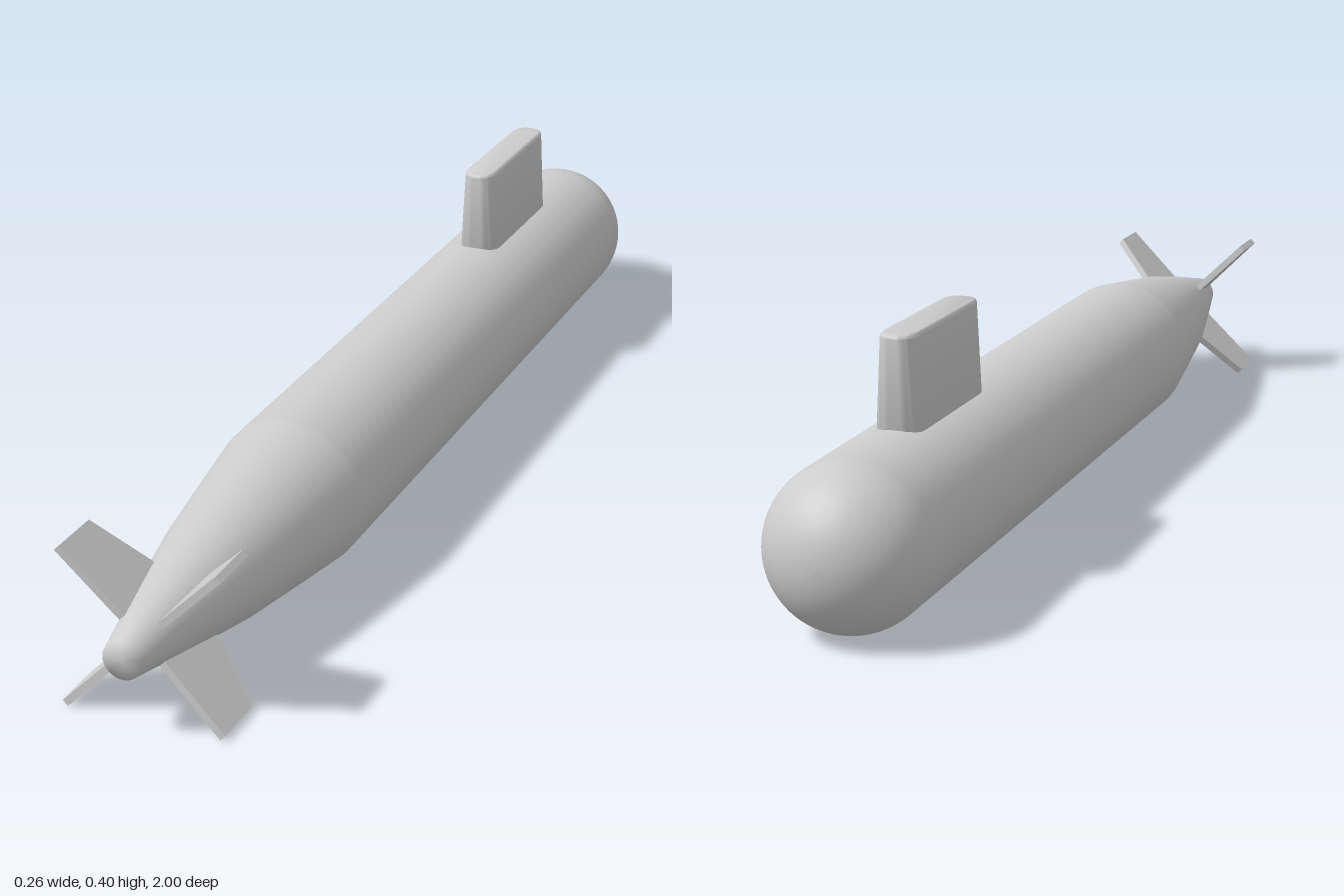
import * as THREE from 'three';
import { toCreasedNormals } from 'three/addons/utils/BufferGeometryUtils.js';

const AXIS_Y = 0.133, R = 0.129;

export function createModel() {
  const model = new THREE.Group();
  model.name = 'submarine';
  const material = new THREE.MeshStandardMaterial({ color: 0xcccccc });

  const add = (name, geometry, parent = model) => {
    const mesh = new THREE.Mesh(geometry, material);
    mesh.name = name;
    parent.add(mesh);
    return mesh;
  };

  // Round bodies: profile of [radius, z] turned about the long axis
  const turned = (profile) => new THREE.LatheGeometry(
    profile.map(([r, z]) => new THREE.Vector2(r, z)), 64).rotateX(Math.PI / 2);

  // Domed nose running into the straight hull
  const hull = [];
  for (let i = 0; i <= 16; i++) {
    const a = (i / 16) * Math.PI / 2;
    hull.push([R * Math.sin(a), -0.871 - R * Math.cos(a)]);
  }
  hull.push([R, 0.43]);
  add('hull', turned(hull)).position.y = AXIS_Y;

  // Tapered stern with a small blunt end
  add('tailCone', turned([
    [R, 0.43], [0.113, 0.55], [0.092, 0.7], [0.071, 0.81],
    [0.05, 0.91], [0.031, 1], [0, 1],
  ])).position.y = AXIS_Y;

  // Sail: rounded plan extruded upward, narrowing in width toward the top
  const bevel = 0.007, halfW = 0.04 - bevel, halfL = 0.153 - bevel, c = 0.03;
  const plan = new THREE.Shape();
  plan.moveTo(halfW, -halfL + c);
  plan.lineTo(halfW, halfL - c);
  plan.quadraticCurveTo(halfW, halfL, halfW - c, halfL);
  plan.lineTo(-halfW + c, halfL);
  plan.quadraticCurveTo(-halfW, halfL, -halfW, halfL - c);
  plan.lineTo(-halfW, -halfL + c);
  plan.quadraticCurveTo(-halfW, -halfL, -halfW + c, -halfL);
  plan.lineTo(halfW - c, -halfL);
  plan.quadraticCurveTo(halfW, -halfL, halfW, -halfL + c);
  const base = 0.2, top = 0.405;
  const sail = new THREE.ExtrudeGeometry(plan, {
    depth: top - base - 2 * bevel, curveSegments: 10,
    bevelSize: bevel, bevelThickness: bevel, bevelSegments: 4,
  }).rotateX(-Math.PI / 2).translate(0, base + bevel, 0);
  const p = sail.attributes.position;
  for (let i = 0; i < p.count; i++) {
    const t = (p.getY(i) - base) / (top - base);
    p.setX(i, p.getX(i) * (1 - 0.28 * t));
  }
  add('sail', toCreasedNormals(sail, 0.7)).position.z = -0.558;

  // Four swept stern fins in an X
  const finShape = new THREE.Shape([
    [0.03, 0.789], [0.181, 0.857], [0.181, 0.946], [0.03, 0.938],
  ].map(([r, z]) => new THREE.Vector2(r, -z)));
  const finGeometry = new THREE.ExtrudeGeometry(finShape, { depth: 0.012, bevelEnabled: false })
    .translate(0, 0, -0.006).rotateX(-Math.PI / 2);
  const fins = new THREE.Group();
  fins.name = 'sternFins';
  fins.position.y = AXIS_Y;
  ['upperLeftFin', 'upperRightFin', 'lowerRightFin', 'lowerLeftFin'].forEach((name, i) => {
    add(name, finGeometry, fins).rotation.z = Math.PI / 4 + i * Math.PI / 2;
  });
  model.add(fins);

  return model;
}
